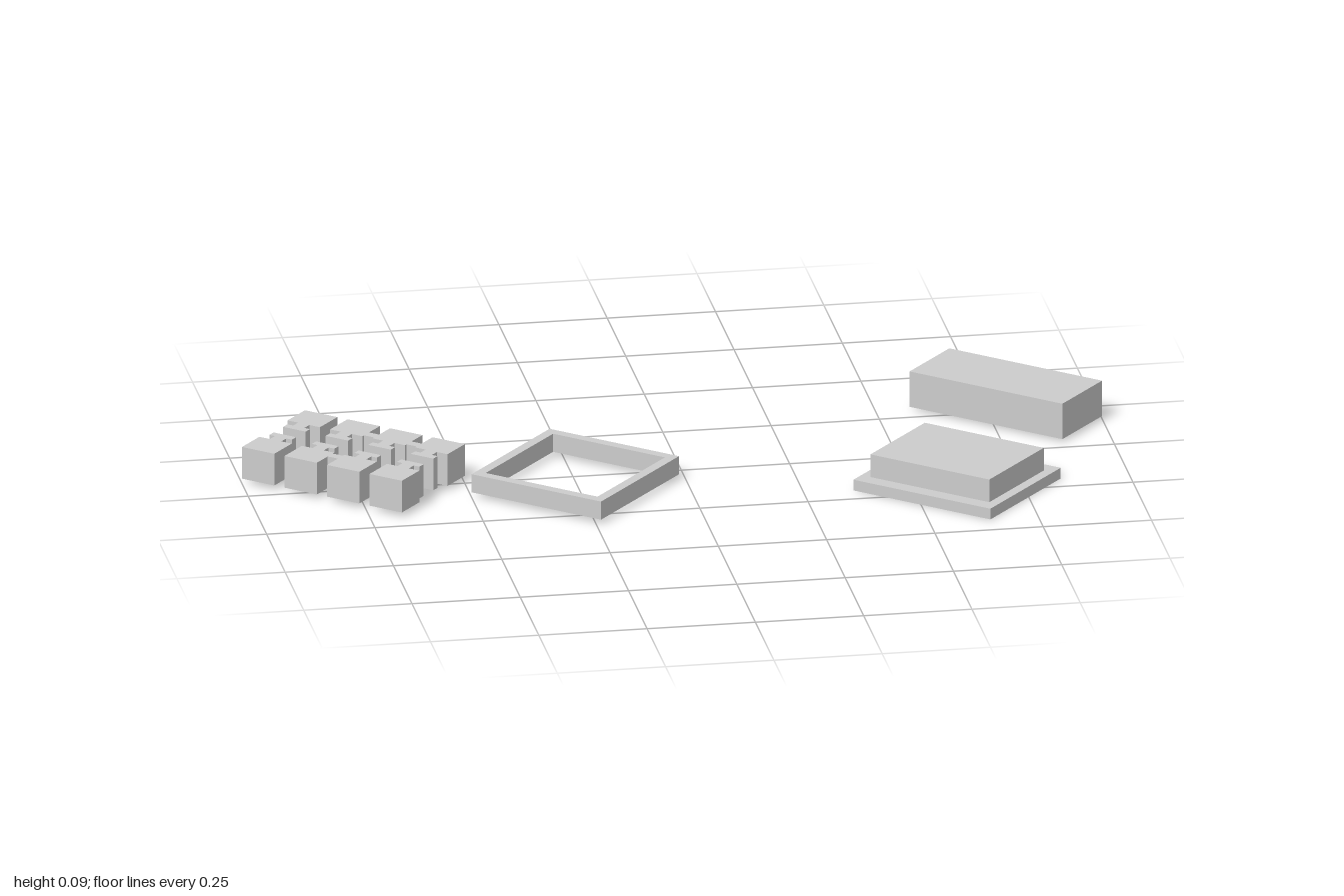
import * as THREE from 'three';

const grey = new THREE.MeshStandardMaterial({ color: 0xcccccc, side: THREE.DoubleSide });
grey.name = 'plain grey';

const rect = (w, d, x = 0, z = 0) => [
  [x - w / 2, z - d / 2], [x + w / 2, z - d / 2], [x + w / 2, z + d / 2], [x - w / 2, z + d / 2],
];

// Walls and flat roof over an outline of [x, z] points, open underneath
function shell(name, outline, y0, y1, hole) {
  const toVectors = (pts) => pts.map(([x, z]) => new THREE.Vector2(x, -z));
  const shape = new THREE.Shape(toVectors(outline));
  if (hole) shape.holes.push(new THREE.Path(toVectors(hole)));
  const solid = new THREE.ExtrudeGeometry(shape, { depth: y1 - y0, bevelEnabled: false });
  solid.rotateX(-Math.PI / 2).translate(0, y0, 0);
  // Keep every triangle except those of the floor
  const pos = solid.attributes.position, nor = solid.attributes.normal, kept = [];
  for (let i = 0; i < pos.count; i += 3) {
    if (nor.getY(i) < -0.5) continue;
    for (let k = i; k < i + 3; k++) kept.push(pos.getX(k), pos.getY(k), pos.getZ(k));
  }
  const geometry = new THREE.BufferGeometry();
  geometry.setAttribute('position', new THREE.Float32BufferAttribute(kept, 3));
  geometry.computeVertexNormals();
  const mesh = new THREE.Mesh(geometry, grey);
  mesh.name = name;
  return mesh;
}

export function createModel() {
  const model = new THREE.Group();
  model.name = 'buildingCluster';

  // All buildings share one street direction
  const site = (name, x, z, ...parts) => {
    const g = new THREE.Group();
    g.name = name;
    g.position.set(x, 0, z);
    g.rotation.y = -0.712;
    g.add(...parts);
    model.add(g);
  };

  // Long plain hall
  site('longHall', 0.789, -0.2325, shell('hallShell', rect(0.406, 0.175), 0.007, 0.093));

  // Stepped building: low plinth with a block on top
  site('steppedBuilding', 0.603, 0.197,
    shell('plinth', rect(0.364, 0.31), 0, 0.026),
    shell('upperBlock', rect(0.316, 0.24), 0.026, 0.081));

  // Courtyard building: thin square ring
  site('courtyardBuilding', -0.257, 0.072,
    shell('ring', rect(0.344, 0.344), 0.011, 0.055, rect(0.297, 0.297)));

  // Two facing rows of four houses, each with a neck and crossbar towards the lane
  const houses = [];
  const low = 0.011, high = 0.088;
  for (const side of [-1, 1]) {
    for (let i = 0; i < 4; i++) {
      const x = (i - 1.5) * 0.113;
      const half = [[0.043, 0.139], [0.043, 0.062], [0.015, 0.062], [0.015, 0.04], [0.03, 0.04], [0.03, 0.021]];
      const mirrored = half.map(([a, b]) => [-a, b]).reverse();
      const outline = [...half, ...mirrored].map(([a, b]) => [x + a, side * b]);
      houses.push(shell('house', outline, low, high));
    }
    // Short links joining neighbouring houses
    for (const x of side < 0 ? [0, 0.113] : [0]) {
      houses.push(shell('houseLink', rect(0.027, 0.022, x, side * 0.08), low, high));
    }
  }
  site('houseRows', -0.748, -0.052, ...houses);

  return model;
}
